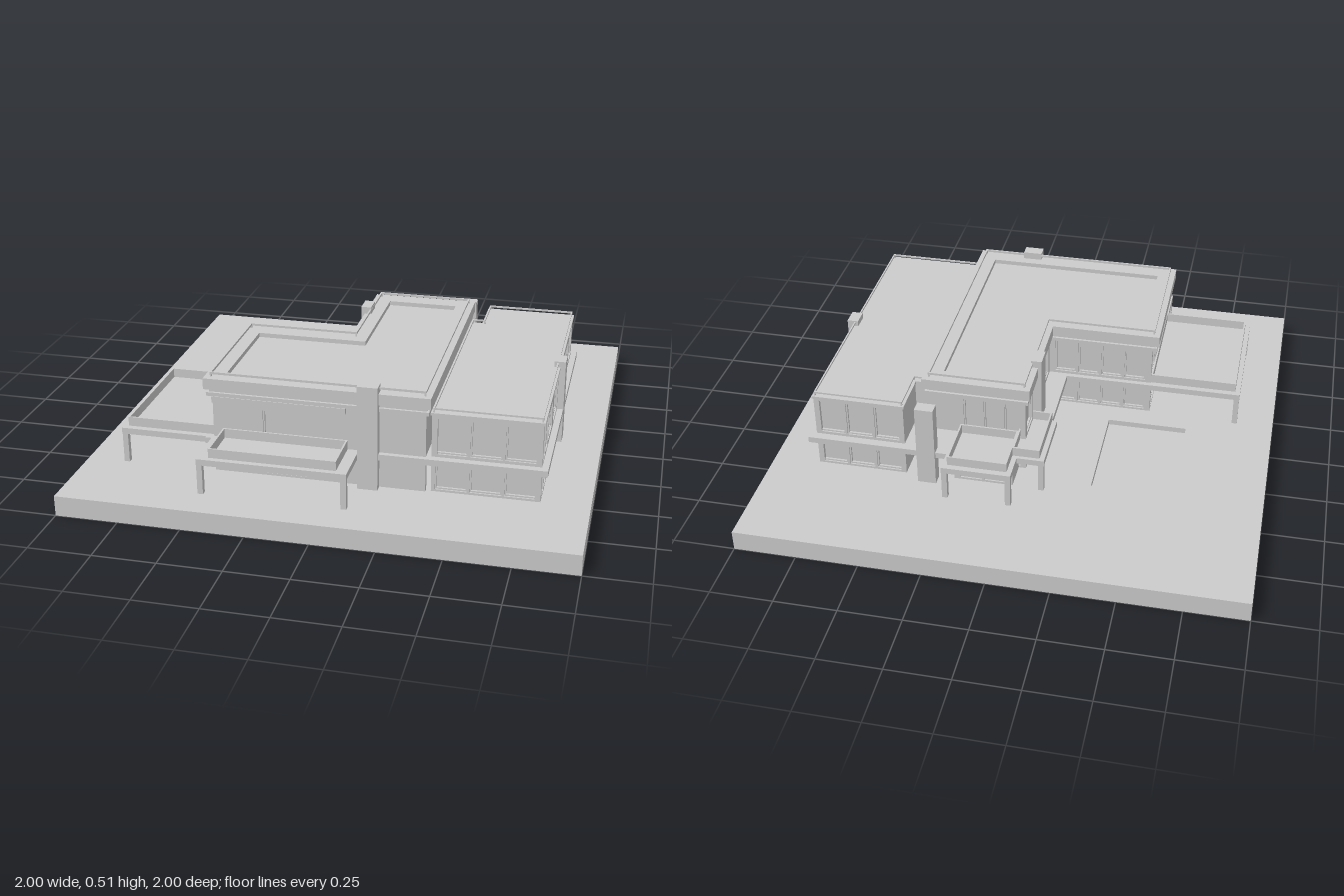
import * as THREE from 'three';

const mat = new THREE.MeshStandardMaterial({ color: 0xcccccc, flatShading: true });
const G = 0.083, S0 = 0.205, S1 = 0.23, TOP = 0.408; // ground, floor slab, wall top

export function createModel() {
  const root = new THREE.Group();
  root.name = 'house';

  const add = (name, geo, parent = root) => {
    const m = new THREE.Mesh(geo, mat);
    m.name = name;
    parent.add(m);
    return m;
  };
  // box from its min / max limits
  const box = (name, x0, x1, y0, y1, z0, z1, parent) => {
    const m = add(name, new THREE.BoxGeometry(x1 - x0, y1 - y0, z1 - z0), parent);
    m.position.set((x0 + x1) / 2, (y0 + y1) / 2, (z0 + z1) / 2);
    return m;
  };
  const toV = pts => pts.map(([x, z]) => new THREE.Vector2(x, -z));
  // horizontal plate from an [x, z] outline, with an optional hole
  const slab = (name, pts, y0, y1, hole) => {
    const shape = new THREE.Shape(toV(pts));
    if (hole) shape.holes.push(new THREE.Path(toV(hole)));
    const geo = new THREE.ExtrudeGeometry(shape, { depth: y1 - y0, bevelEnabled: false });
    geo.rotateX(-Math.PI / 2).translate(0, y0, 0);
    return add(name, geo);
  };
  const rect = (x0, x1, z0, z1, d = 0) =>
    [[x0 + d, z1 - d], [x1 - d, z1 - d], [x1 - d, z0 + d], [x0 + d, z0 + d]];
  const rectPts = (u0, u1, v0, v1) =>
    [[u0, v0], [u1, v0], [u1, v1], [u0, v1]].map(p => new THREE.Vector2(...p));

  // wall from a to b (outside on the right-hand side) with windows [u0, u1, v0, v1, open]
  const wall = (name, a, b, y0, y1, windows = []) => {
    const dx = b[0] - a[0], dz = b[1] - a[1], g = new THREE.Group();
    g.name = name;
    g.position.set(a[0], 0, a[1]);
    g.rotation.y = Math.atan2(-dz, dx);
    root.add(g);
    const plate = (label, outer, holes, z, depth) => {
      const s = new THREE.Shape(outer);
      holes.forEach(h => s.holes.push(new THREE.Path(h)));
      const geo = new THREE.ExtrudeGeometry(s, { depth, bevelEnabled: false });
      add(label, geo.translate(0, 0, z), g);
    };
    plate('wallPanel', rectPts(0, Math.hypot(dx, dz), y0, y1),
      windows.map(w => rectPts(...w.slice(0, 4))), -0.022, 0.022);
    for (const [u0, u1, v0, v1, open] of windows) {
      if (open) continue;
      const f = 0.006;
      plate('windowFrame', rectPts(u0, u1, v0, v1),
        [rectPts(u0 + f, u1 - f, v0 + f, v1 - f)], -0.016, 0.01);
      box('windowPane', u0, u1, v0, v1, -0.02, -0.015, g);
    }
  };
  // n equal windows between u0 and u1
  const row = (n, u0, u1, v0, v1, gap = 0.01) => Array.from({ length: n }, (_, i) => {
    const w = (u1 - u0) / n;
    return [u0 + i * w + gap / 2, u0 + (i + 1) * w - gap / 2, v0, v1];
  });

  // plot with sunken pool
  const pool = rect(-0.64, -0.31, -0.44, 0.02);
  slab('ground', rect(-1, 1, -1, 1), 0, 0.06);
  slab('lawn', rect(-1, 1, -1, 1), 0.06, G, pool);

  // floor slab running round the whole house
  slab('floorSlab', [[-0.5, 0.67], [0.835, 0.67], [0.835, -0.54], [0.26, -0.54], [0.26, -0.51],
    [-0.13, -0.51], [-0.13, -0.23], [-0.11, -0.23], [-0.11, 0.1], [-0.5, 0.1]], S0, S1);

  // walls of both storeys
  for (const [y0, y1, v0, v1, tag] of [
    [G, S0, 0.092, 0.198, 'ground'], [S1, TOP, 0.242, 0.392, 'upper']]) {
    const up = tag === 'upper', w0 = up ? 0.25 : v0, w1 = up ? 0.36 : v1;
    // main L-shaped block
    wall(tag + 'FrontWall', [-0.47, 0.65], [0.37, 0.65], y0, y1,
      [[0.2, 0.38, up ? 0.25 : v0, w1]]);
    if (up) wall('upperRightWall', [0.37, 0.65], [0.37, -0.38], y0, y1);
    wall(tag + 'BackWall', [0.37, -0.38], [-0.03, -0.38], y0, y1, row(3, 0.14, 0.39, v0, v1));
    wall(tag + 'CourtSideWall', [-0.03, -0.38], [-0.03, 0.12], y0, y1,
      [...row(1, 0.01, 0.14, v0, v1), ...row(3, 0.25, 0.48, v0, v1)]);
    wall(tag + 'CourtBackWall', [-0.03, 0.12], [-0.47, 0.12], y0, y1, row(4, 0.02, 0.42, v0, v1));
    wall(tag + 'LeftWall', [-0.47, 0.12], [-0.47, 0.65], y0, y1,
      [...row(1, 0.02, 0.15, v0, v1), [0.19, 0.33, up ? S1 + 0.005 : v0, w1, !up]]);
    // side wing
    wall(tag + 'WingFrontWall', [0.39, 0.64], [0.81, 0.64], y0, y1, row(3, 0.01, 0.41, v0, v1));
    wall(tag + 'WingRightWall', [0.81, 0.64], [0.81, -0.505], y0, y1, [
      ...row(2, 0.01, 0.185, v0, v1), [0.19, 0.33, w0, w1, !up], ...row(1, 0.37, 0.53, v0, v1),
      ...row(1, 0.62, 0.76, v0, v1), [0.77, 0.97, w0, w1], ...row(1, 0.99, 1.13, v0, v1)]);
    wall(tag + 'WingBackWall', [0.81, -0.505], [0.44, -0.505], y0, y1, row(3, 0.01, 0.36, v0, v1));
    wall(tag + 'WingSideWall', [0.44, -0.505], [0.44, -0.32], y0, y1);
    wall(tag + 'WingNotchWall', [0.44, -0.32], [0.37, -0.32], y0, y1);
    if (up) wall('upperWingInnerWall', [0.39, -0.32], [0.39, 0.64], y0, y1);
  }
  // single-storey room under the back balcony
  wall('backRoomRightWall', [0.24, -0.38], [0.24, -0.5], G, S0);
  wall('backRoomBackWall', [0.24, -0.5], [0, -0.5], G, S0, row(2, 0.02, 0.22, 0.092, 0.198));
  wall('backRoomLeftWall', [0, -0.5], [0, -0.38], G, S0);

  // main roof: stepped fascia, sunken deck and a thin rail
  const L = d => [[-0.5 + d, 0.67 - d], [0.39 - d, 0.67 - d], [0.39 - d, -0.4 + d],
    [-0.05 + d, -0.4 + d], [-0.05 + d, 0.09 + d], [-0.5 + d, 0.09 + d]];
  slab('roofSoffit', L(0.008), 0.405, 0.42);
  slab('roofRecess', L(0.018), 0.42, 0.435);
  slab('roofDeck', L(0), 0.435, 0.462);
  slab('roofParapet', L(0), 0.462, 0.48, L(0.075));
  slab('roofRail', L(0.022), 0.491, 0.5, L(0.029));
  for (const [x, z] of L(0.0255)) box('railPost', x - 0.003, x + 0.003, 0.48, 0.492, z - 0.003, z + 0.003);
  box('windowCanopy', -0.47, 0.06, 0.38, 0.405, 0.64, 0.665);

  // wing roof and rail
  const W = d => [[0.385 + d, 0.645 - d], [0.815 - d, 0.645 - d], [0.815 - d, -0.51 + d],
    [0.435 + d, -0.51 + d], [0.435 + d, -0.325 + d], [0.385 + d, -0.325 + d]];
  slab('wingRoof', W(0), 0.402, 0.413);
  slab('wingRail', W(0.008), 0.424, 0.431, W(0.014));
  for (const [x, z] of W(0.011)) box('railPost', x - 0.003, x + 0.003, 0.413, 0.425, z - 0.003, z + 0.003);

  // chimneys and pillars
  box('frontChimney', 0.11, 0.19, G, 0.51, 0.635, 0.685);
  box('courtChimney', -0.065, -0.022, G, 0.51, -0.23, -0.15);
  box('wingPillar', 0.79, 0.836, G, 0.437, 0.03, 0.1);
  box('backPillar', 0.305, 0.38, G, 0.437, -0.55, -0.5);

  // terraces on posts, each with a thin parapet
  const terrace = (name, deck, rim, posts) => {
    if (deck) slab(name + 'Deck', rect(...deck), S0, S1);
    slab(name + 'Parapet', rect(...rim), S1, 0.268, rect(...rim, 0.007));
    for (const [x, z] of posts) box(name + 'Post', x - 0.011, x + 0.011, G, S0, z - 0.011, z + 0.011);
  };
  terrace('leftTerrace', [-0.85, -0.5, 0.1, 0.66], [-0.83, -0.47, 0.125, 0.635],
    [[-0.838, 0.112], [-0.838, 0.648]]);
  terrace('frontTerrace', [-0.475, 0.11, 0.67, 0.86], [-0.432, 0.066, 0.65, 0.838],
    [[-0.463, 0.848], [0.098, 0.848]]);
  terrace('backTerrace', [-0.02, 0.26, -0.63, -0.51], [0, 0.24, -0.605, -0.38],
    [[-0.008, -0.618], [0.248, -0.618]]);
  terrace('courtTerrace', null, [-0.11, 0, -0.495, -0.23], [[-0.118, -0.498]]);

  return root;
}
